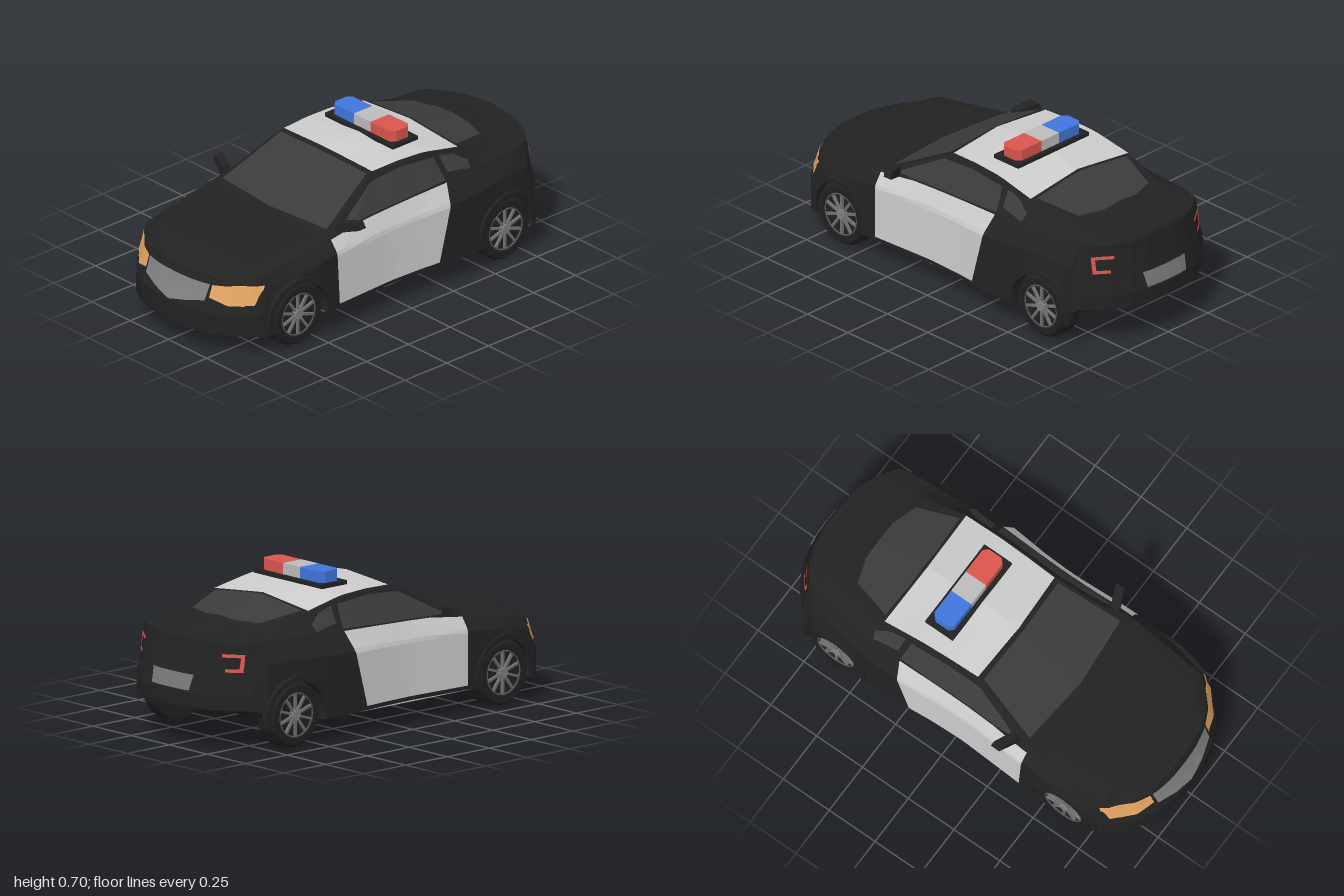
import * as THREE from 'three';

const BLACK = 0x222222, GLASS = 0x3b3b3b, WHITE = 0xcccccc, RED = 0xd9554c, BLUE = 0x4075dc;
const mat = (color) => new THREE.MeshStandardMaterial({ color, flatShading: true, side: THREE.DoubleSide });
const V = (x, y, z) => new THREE.Vector3(x, y, z);

function add(parent, name, geometry, color) {
  const mesh = new THREE.Mesh(geometry, mat(color));
  mesh.name = name;
  parent.add(mesh);
  return mesh;
}

// Piecewise-linear profile: pairs of [z, value], front to back
function at(z, profile) {
  if (z >= profile[0][0]) return profile[0][1];
  for (let i = 1; i < profile.length; i++) {
    const [z0, v0] = profile[i - 1], [z1, v1] = profile[i];
    if (z >= z1) return v0 + (v1 - v0) * (z0 - z) / (z0 - z1);
  }
  return profile[profile.length - 1][1];
}

// Triangles of a grid of points
function gridTriangles(out, rows, flip) {
  for (let i = 0; i < rows.length - 1; i++) {
    for (let j = 0; j < rows[i].length - 1; j++) {
      const a = rows[i][j], b = rows[i][j + 1], c = rows[i + 1][j + 1], d = rows[i + 1][j];
      const tris = flip ? [a, c, d, a, b, c] : [a, d, c, a, c, b];
      for (const p of tris) out.push(p.x, p.y, p.z);
    }
  }
}

function toGeometry(positions) {
  const g = new THREE.BufferGeometry();
  g.setAttribute('position', new THREE.Float32BufferAttribute(positions, 3));
  g.computeVertexNormals();
  return g;
}

// Body profiles along the length
const WHEELS = [0.61, -0.63], ARCH = 0.16;
const width = [[1, 0.37], [0.78, 0.39], [0.5, 0.437], [0, 0.412], [-0.4, 0.445], [-0.78, 0.4], [-1, 0.355]];
const flare = [[1, 0.04], [0.78, 0.03], [0.5, 0.007], [-0.45, 0.007], [-0.78, 0.025], [-1, 0.035]];
const floorY = [[0.8, 0.1], [0.4, 0.11], [-0.5, 0.11], [-0.8, 0.15], [-1, 0.19]];
const lowerY = [[1, 0.2], [-0.79, 0.2], [-1, 0.255]];
const shoulderY = [[1, 0.27], [0.78, 0.325], [0.4, 0.375], [-0.3, 0.385], [-0.7, 0.4], [-1, 0.37]];
const beltX = [[1, 0.36], [0.78, 0.372], [0.4, 0.388], [0, 0.375], [-0.4, 0.385], [-0.78, 0.352], [-1, 0.335]];
const beltY = [[1, 0.33], [0.78, 0.375], [0.4, 0.435], [0.3, 0.45], [-0.3, 0.475], [-0.6, 0.487], [-1, 0.488]];
const railX = [[1, 0.25], [0.78, 0.29], [0.4, 0.335], [0.36, 0.35], [0.06, 0.295], [-0.2, 0.308], [-0.45, 0.31], [-0.72, 0.27], [-1, 0.25]];
const railY = [[1, 0.35], [0.78, 0.392], [0.4, 0.442], [0.36, 0.452], [0.06, 0.607], [-0.2, 0.615], [-0.45, 0.568], [-0.72, 0.512], [-1, 0.495]];
const topY = [[1, 0.358], [0.78, 0.4], [0.4, 0.448], [0.36, 0.462], [0.06, 0.626], [-0.1, 0.638], [-0.25, 0.63], [-0.45, 0.598], [-0.72, 0.533], [-0.86, 0.506], [-1, 0.505]];
const LEAN = [0, 0, 0.03, 0.05, 0.06];
const STEPS = [1, 0.75, 0.5, 0.25, 0];

// Bows the nose and tail in plan, and leans their upper edges inwards
function bend(x, y, z, lean) {
  const end = Math.max(0, Math.abs(z) - 0.79) / 0.21;
  return V(x, y, z - Math.sign(z) * end * (0.19 * Math.pow(x / 0.41, 2.7) + lean));
}

function levels(z) {
  let y0 = at(z, floorY);
  for (const w of WHEELS) {
    const d = Math.abs(z - w);
    if (d < ARCH + 0.0001) y0 = Math.max(y0, 0.15 + Math.sqrt(Math.max(0, ARCH * ARCH - d * d)));
  }
  const w = at(z, width), f = at(z, flare);
  return [
    [w + f, y0], [w + f * 0.7, Math.max(at(z, lowerY), y0 + 0.01)],
    [w, Math.max(at(z, shoulderY), y0 + 0.02)], [at(z, beltX), at(z, beltY)], [at(z, railX), at(z, railY)],
  ];
}

function bodyGeometry() {
  const stations = [1, 0.93, 0.86, 0.8, 0.4, 0.36, 0.25, 0.06, -0.1, -0.25, -0.36, -0.45, -0.86, -0.93, -1];
  for (const w of WHEELS) for (const d of [0, 0.05, 0.1, 0.14, 0.159, 0.162]) {
    stations.push(w + d);
    if (d) stations.push(w - d);
  }
  stations.sort((a, b) => b - a);
  const crown = (z, y, s) => y + (at(z, topY) - y) * (1 - s);

  // Closed half section: flat floor, inner wall of the wheel well, side, roof
  const sections = stations.map((z) => {
    const L = levels(z);
    const under = STEPS.slice(1).reverse().map((s) => bend(L[0][0] * s, at(z, floorY), z, 0));
    const wall = bend(L[0][0] * STEPS[1], L[0][1], z, 0);
    const side = L.map(([x, y], k) => bend(x, y, z, LEAN[k]));
    const over = STEPS.slice(1).map((s) => bend(L[4][0] * s, crown(z, L[4][1], s), z, LEAN[4]));
    return [...under, wall, ...side, ...over];
  });
  // Curved nose and tail faces
  const cap = (z) => STEPS.map((s) => levels(z).map(([x, y], k) =>
    bend(x * s, k === 4 ? crown(z, y, s) : y, z, LEAN[k])));

  const half = [];
  gridTriangles(half, sections, false);
  gridTriangles(half, cap(1), true);
  gridTriangles(half, cap(-1), false);
  const all = half.slice();
  for (let i = 0; i < half.length; i += 9) {
    for (const k of [0, 6, 3]) all.push(-half[i + k], half[i + k + 1], half[i + k + 2]);
  }
  return toGeometry(all);
}

// Thin panel between two polylines, laid on the body along an axis
const ray = new THREE.Raycaster();
function panel(parent, body, name, color, axis, sign, first, second, n = 6, rowsN = 14) {
  const dir = V(axis === 'x' ? -sign : 0, axis === 'y' ? -sign : 0, axis === 'z' ? -sign : 0);
  const place = (a, b) => {
    const p = axis === 'x' ? V(0, b, a) : axis === 'y' ? V(a, 0, b) : V(a, b, 0);
    p.addScalar(0.0001).addScaledVector(dir, -3);
    ray.set(p, dir);
    const hit = ray.intersectObject(body)[0];
    if (!hit) return p.addScaledVector(dir, 2.6);
    const out = hit.face.normal.clone();
    if (out.dot(dir) > 0) out.negate();
    return hit.point.addScaledVector(dir, -0.004).addScaledVector(out, 0.002);
  };
  const rows = [];
  for (let r = 0; r <= rowsN; r++) {
    const row = [];
    for (let i = 0; i <= n * (first.length - 1); i++) {
      const k = Math.min(Math.floor(i / n), first.length - 2), t = i / n - k, v = r / rowsN;
      const mix = (c) => THREE.MathUtils.lerp(
        THREE.MathUtils.lerp(first[k][c], first[k + 1][c], t),
        THREE.MathUtils.lerp(second[k][c], second[k + 1][c], t), v);
      row.push(place(mix(0), mix(1)));
    }
    rows.push(row);
  }
  const positions = [];
  gridTriangles(positions, rows, false);
  return add(parent, name, toGeometry(positions), color);
}

function makeWheel() {
  const wheel = new THREE.Group();
  wheel.name = 'wheel';
  const profile = [[0, -0.095], [0.15, -0.095], [0.15, -0.02], [0.135, 0], [0.105, 0], [0.1, -0.02], [0, -0.02]];
  const tyre = new THREE.LatheGeometry(profile.map(([r, y]) => new THREE.Vector2(r, y)), 16);
  add(wheel, 'tyre', tyre.rotateZ(-Math.PI / 2), 0x202020);
  add(wheel, 'rim', new THREE.TorusGeometry(0.098, 0.004, 4, 20).rotateY(Math.PI / 2).translate(-0.005, 0, 0), 0x555555);
  for (let i = 0; i < 10; i++) {
    const spoke = new THREE.BoxGeometry(0.012, 0.085, 0.011).translate(-0.011, 0.055, 0);
    add(wheel, 'spoke', spoke.rotateX(i * Math.PI / 5), 0x707070);
  }
  add(wheel, 'hub', new THREE.CylinderGeometry(0.024, 0.028, 0.02, 10).rotateZ(-Math.PI / 2).translate(-0.01, 0, 0), 0x808080);
  return wheel;
}

// Flat outline in x and z, raised to a height
function slab(points, y, height) {
  const shape = new THREE.Shape(points.map(([x, z]) => new THREE.Vector2(x, -z)));
  return new THREE.ExtrudeGeometry(shape, { depth: height, bevelEnabled: false }).rotateX(-Math.PI / 2).translate(0, y, 0);
}

export function createModel() {
  const car = new THREE.Group();
  car.name = 'patrolCar';
  const body = add(car, 'body', bodyGeometry(), BLACK);
  const on = (...args) => panel(car, body, ...args);

  // Roof, glass, grille and plate
  on('roofPanel', WHITE, 'y', 1, [[-0.288, 0.045], [0, 0.06], [0.288, 0.045]], [[-0.307, -0.45], [0, -0.44], [0.307, -0.45]]);
  on('windshield', GLASS, 'y', 1, [[-0.28, 0.07], [0, 0.08], [0.28, 0.07]], [[-0.34, 0.365], [0, 0.395], [0.34, 0.365]]);
  on('rearWindow', GLASS, 'y', 1, [[-0.28, -0.465], [-0.1, -0.455], [0.1, -0.455], [0.28, -0.465]],
    [[-0.22, -0.66], [-0.1, -0.7], [0.1, -0.7], [0.22, -0.66]]);
  on('grille', 0x808080, 'z', 1, [[-0.195, 0.322], [0, 0.322], [0.195, 0.322]], [[-0.19, 0.25], [0, 0.205], [0.19, 0.25]]);
  on('rearPlate', 0x777777, 'z', -1, [[-0.13, 0.335], [0.13, 0.335]], [[-0.12, 0.265], [0.12, 0.265]]);
  add(car, 'floorPanel', new THREE.BoxGeometry(0.82, 0.012, 0.88).translate(0, 0.106, 0), 0xc4c4c4);

  for (const s of [1, -1]) {
    const m = (pts) => pts.map(([x, y]) => [x * s, y]);
    // Doors and side glass
    on('doorPanel', WHITE, 'x', s, [[0.39, 0.432], [0.2, 0.455], [-0.31, 0.474]], [[0.38, 0.13], [0.2, 0.13], [-0.22, 0.13]], 8, 18);
    on('sideWindow', GLASS, 'x', s, [[0.29, 0.465], [0.08, 0.582], [-0.1, 0.597], [-0.29, 0.583]],
      [[0.28, 0.459], [0.08, 0.466], [-0.1, 0.472], [-0.31, 0.484]]);
    on('quarterWindow', GLASS, 'x', s, [[-0.325, 0.58], [-0.4, 0.562], [-0.47, 0.52]], [[-0.335, 0.51], [-0.4, 0.5], [-0.46, 0.49]]);
    // Lamps
    on('headlight', 0xe6a564, 'z', 1, m([[0.205, 0.32], [0.29, 0.328], [0.355, 0.331]]), m([[0.205, 0.265], [0.29, 0.242], [0.345, 0.242]]));
    on('headlightSide', 0xe6a564, 'x', s, [[0.88, 0.329], [0.78, 0.337]], [[0.88, 0.243], [0.83, 0.248]]);
    on('tailLightTop', RED, 'z', -1, m([[0.25, 0.44], [0.335, 0.44]]), m([[0.25, 0.425], [0.335, 0.425]]));
    on('tailLightBottom', RED, 'z', -1, m([[0.27, 0.375], [0.335, 0.375]]), m([[0.27, 0.36], [0.335, 0.36]]));
    on('tailLightSide', RED, 'z', -1, m([[0.32, 0.44], [0.335, 0.44]]), m([[0.32, 0.36], [0.335, 0.36]]));

    // Wheels, with arch flares that follow the body side
    for (const z of WHEELS) {
      const wheel = makeWheel();
      wheel.position.set(s * 0.43, 0.15, z);
      wheel.rotation.y = s > 0 ? 0 : Math.PI;
      car.add(wheel);
      const arc = new THREE.Shape();
      arc.absarc(0, 0, 0.178, -0.2, Math.PI + 0.2, false);
      arc.absarc(0, 0, 0.154, Math.PI + 0.2, -0.2, true);
      const g = new THREE.ExtrudeGeometry(arc, { depth: 0.03, bevelEnabled: false, curveSegments: 10 });
      g.rotateY(Math.PI / 2).translate(-0.022, 0.15, z);
      const p = g.attributes.position;
      for (let i = 0; i < p.count; i++) p.setX(i, s * (p.getX(i) + at(p.getZ(i), width) + at(p.getZ(i), flare)));
      add(car, 'archFlare', g, BLACK);
    }

    // Door mirror, swept back towards its tip
    const face = new THREE.Shape([[0.365, 0.462], [0.39, 0.445], [0.475, 0.473], [0.46, 0.506], [0.41, 0.497], [0.375, 0.487]]
      .map(([x, y]) => new THREE.Vector2(x * s, y)));
    const mirror = new THREE.ExtrudeGeometry(face, { depth: 0.045, bevelEnabled: false });
    const p = mirror.attributes.position;
    for (let i = 0; i < p.count; i++) p.setZ(i, p.getZ(i) + 0.295 - (Math.abs(p.getX(i)) - 0.365) * 0.4);
    add(car, 'doorMirror', mirror, BLACK);

    // Coloured end of the light bar
    const lens = [[0.055, -0.27], [0.18, -0.27], [0.2, -0.25], [0.2, -0.18], [0.18, -0.16], [0.055, -0.16]];
    add(car, s > 0 ? 'redLamp' : 'blueLamp', slab(m(lens), 0.65, 0.052), s > 0 ? RED : BLUE);
  }
  add(car, 'lightBarBase', new THREE.BoxGeometry(0.445, 0.018, 0.15).translate(0, 0.642, -0.215), BLACK);
  add(car, 'centreLamp', new THREE.BoxGeometry(0.11, 0.052, 0.11).translate(0, 0.676, -0.215), 0xbbbbbb);
  return car;
}
